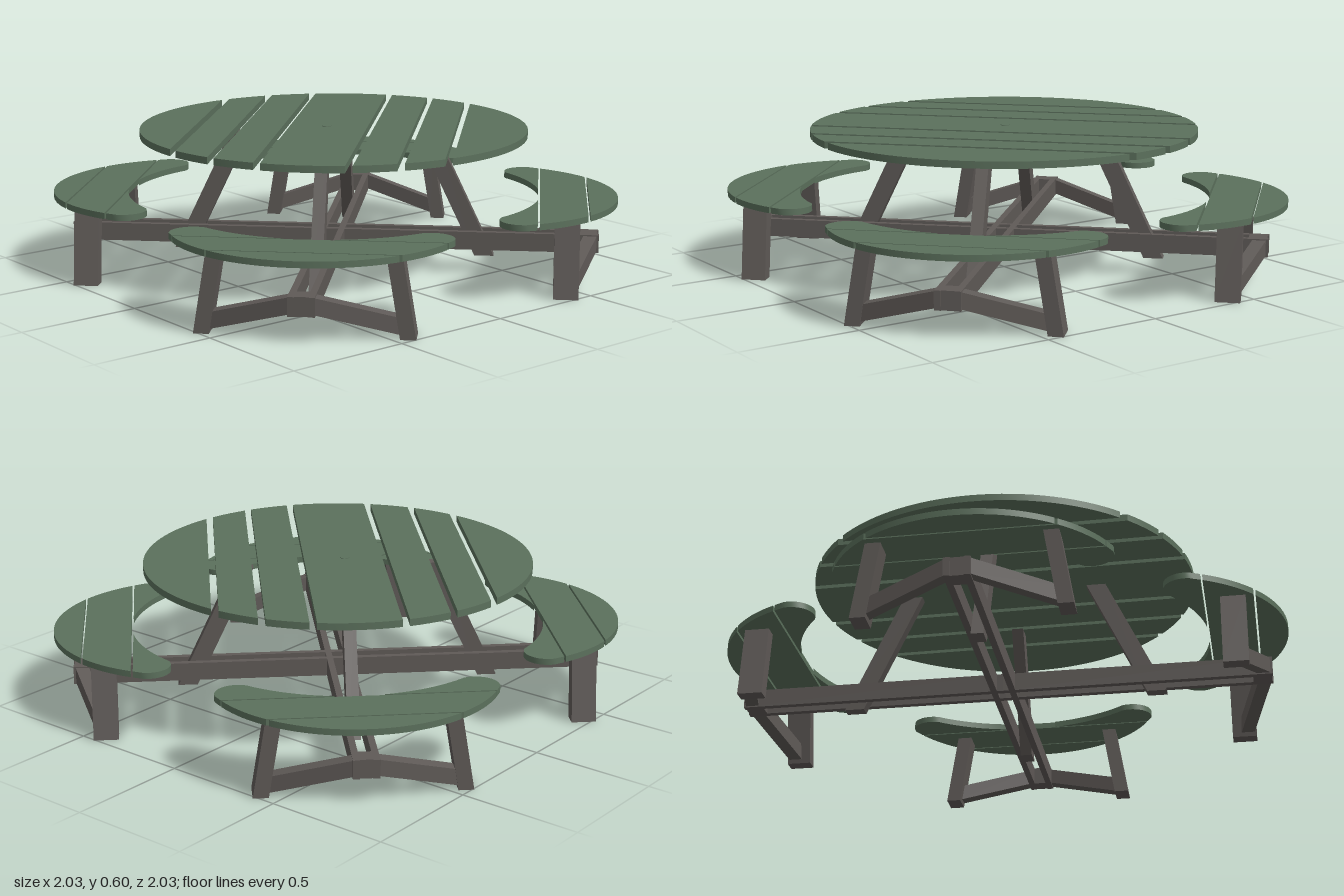
import * as THREE from 'three';
import { toCreasedNormals } from 'three/addons/utils/BufferGeometryUtils.js';

const paint = new THREE.MeshStandardMaterial({ color: 0x5b705c });
const frame = new THREE.MeshStandardMaterial({ color: 0x5f5a57 });
const deg = Math.PI / 180;

// Keep the part of an outline where sign * p[axis] <= sign * limit
function clip(pts, axis, limit, sign) {
  const out = [];
  pts.forEach((p, i) => {
    const q = pts[(i + 1) % pts.length];
    const a = sign * (limit - p[axis]), b = sign * (limit - q[axis]);
    if (a >= 0) out.push(p);
    if ((a > 0 && b < 0) || (a < 0 && b > 0)) out.push(p.clone().lerp(q, a / (a - b)));
  });
  return out;
}

// Flat board from an outline in (x, z), hanging down from its top height
function board(name, pts, top, thick) {
  let geo = new THREE.ExtrudeGeometry(new THREE.Shape(pts), { depth: thick, bevelEnabled: false });
  geo.rotateX(Math.PI / 2).translate(0, top, 0);
  geo = toCreasedNormals(geo, 0.5);
  const mesh = new THREE.Mesh(geo, paint);
  mesh.name = name;
  return mesh;
}

// Timber whose end faces stay square to one axis, sliding from a to b
function timber(name, a, b, axis, size) {
  if (a[axis] > b[axis]) [a, b] = [b, a];
  const geo = new THREE.BoxGeometry(1, 1, 1), pos = geo.attributes.position;
  for (let i = 0; i < pos.count; i++) {
    const v = [pos.getX(i), pos.getY(i), pos.getZ(i)];
    const end = v[axis] < 0 ? a : b;
    pos.setXYZ(i, ...end.map((e, k) => (k === axis ? e : e + v[k] * size[k])));
  }
  geo.computeVertexNormals();
  const mesh = new THREE.Mesh(geo, frame);
  mesh.name = name;
  return mesh;
}

function arc(cx, cy, r, from, to, n) {
  return Array.from({ length: n + 1 }, (_, i) => {
    const a = from + ((to - from) * i) / n;
    return new THREE.Vector2(cx + r * Math.cos(a), cy + r * Math.sin(a));
  });
}

// Round top sawn into parallel planks
function tableTop() {
  const top = new THREE.Group();
  top.name = 'tableTop';
  const centre = -0.02, gap = 0.028;
  const disc = arc(0, 0, 0.8, 0, 2 * Math.PI, 120).slice(0, -1);
  const cuts = [-0.538, -0.365, -0.175, 0.175, 0.365, 0.538];
  for (let i = 0; i <= cuts.length; i++) {
    let pts = disc;
    if (i > 0) pts = clip(pts, 'y', centre + cuts[i - 1] + gap / 2, -1);
    if (i < cuts.length) pts = clip(pts, 'y', centre + cuts[i] - gap / 2, 1);
    top.add(board('tablePlank', pts, 0.6, 0.028));
  }
  // Plug over the parasol hole
  const plug = new THREE.Mesh(new THREE.CylinderGeometry(0.02, 0.02, 0.01, 24), paint);
  plug.name = 'parasolPlug';
  plug.position.set(0, 0.597, centre - 0.008);
  top.add(plug);
  top.rotation.y = 43.5 * deg;
  return top;
}

// Kidney-shaped seat, +x pointing away from the table
function benchSeat() {
  const seat = new THREE.Group();
  seat.name = 'benchSeat';
  const outC = 0.594, outR = 0.58, inC = 0.185, inR = 0.67;
  const tipX = 0.788, tipZ = 0.455, tipR = 0.088;
  const aOut = Math.atan2(tipZ, tipX - outC), aIn = Math.atan2(tipZ, tipX - inC);
  const outline = [
    ...arc(outC, 0, outR, -aOut, aOut, 40),
    ...arc(tipX, tipZ, tipR, aOut, aIn + Math.PI, 14).slice(1, -1),
    ...arc(inC, 0, inR, aIn, -aIn, 32),
    ...arc(tipX, -tipZ, tipR, Math.PI - aIn, 2 * Math.PI - aOut, 14).slice(1, -1),
  ];
  const g = 0.004, inner = 0.852, outer = 1.05;
  seat.add(board('outerSlat', clip(outline, 'x', outer + g, -1), 0.33, 0.025));
  seat.add(board('middleSlat', clip(clip(outline, 'x', outer - g, 1), 'x', inner + g, -1), 0.33, 0.025));
  // The inner slat survives only at the two ends
  for (const s of [-1, 1]) {
    const half = clip(outline, 'y', 0, -s);
    seat.add(board('innerSlat', clip(half, 'x', inner - g, 1), 0.33, 0.025));
  }
  return seat;
}

// One quarter: seat, its legs and arms, half a double beam and a table strut
function quarter() {
  const q = new THREE.Group();
  q.name = 'benchQuarter';
  q.add(benchSeat());
  for (const s of [-1, 1]) {
    q.add(timber('benchLeg', [0.965, 0, s * 0.385], [0.965, 0.306, s * 0.335], 1, [0.1, 0, 0.06]));
    q.add(timber('legArm', [1.065, 0.14, s * 0.045], [0.975, 0.045, s * 0.37], 2, [0.055, 0.065, 0]));
    q.add(timber('crossBeam', [0, 0.138, s * 0.038], [1.1, 0.138, s * 0.038], 0, [0, 0.075, 0.026]));
  }
  q.add(timber('beamSpacer', [1.02, 0.138, 0], [1.095, 0.138, 0], 0, [0, 0.075, 0.05]));
  q.add(timber('tableStrut', [0.63, 0.07, 0], [0.39, 0.573, 0], 1, [0.08, 0, 0.05]));
  return q;
}

export function createModel() {
  const model = new THREE.Group();
  model.name = 'roundPicnicTable';
  model.add(tableTop());
  for (let i = 0; i < 4; i++) {
    const q = quarter();
    q.rotation.y = (45 + 90 * i - 0.6) * deg;
    model.add(q);
  }
  return model;
}
